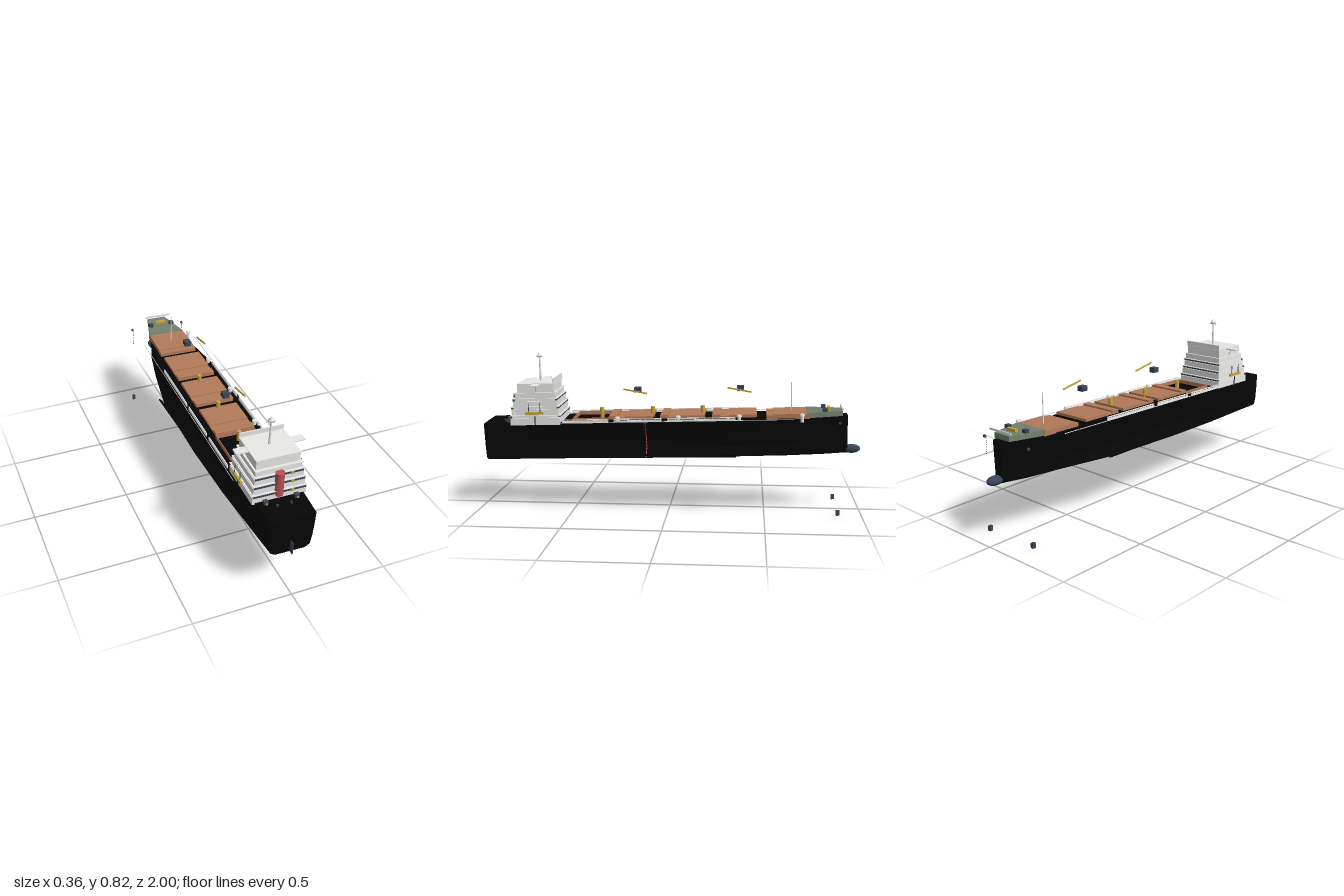
import * as THREE from 'three';

const mat = (name, color) => {
  const m = new THREE.MeshStandardMaterial({ color });
  m.name = name;
  return m;
};

export function createModel() {
  const black = mat('hull black', 0x060607), white = mat('off white', 0xeaeae8);
  const brown = mat('hatch brown', 0xb27a59), green = mat('deck green', 0x71806f);
  const slate = mat('slate', 0x3a4557), yellow = mat('yellow', 0xc8a63a), red = mat('red', 0xb95252);

  // The ship is built level, then pitched and rolled about its middle
  const PIVOT = 0.385;
  const model = new THREE.Group();
  model.name = 'cargoShip';
  const ship = new THREE.Group();
  ship.name = 'ship';
  ship.position.set(-0.005, PIVOT, 0);
  ship.rotation.set(0.029, 0, -0.028);
  model.add(ship);

  const add = (name, geo, material, x, y, z) => {
    const m = new THREE.Mesh(geo, material);
    m.name = name;
    m.position.set(x, y - PIVOT, z);
    ship.add(m);
    return m;
  };
  const box = (name, material, x, y, z, w, h, d) => add(name, new THREE.BoxGeometry(w, h, d), material, x, y, z);
  const cyl = (name, material, x, y, z, r0, r1, h, n = 12) =>
    add(name, new THREE.CylinderGeometry(r1, r0, h, n), material, x, y, z);
  // Box from z0 to z1 and y0 to y1, centred on x
  const block = (name, material, half, y0, y1, z0, z1) =>
    box(name, material, 0, (y0 + y1) / 2, (z0 + z1) / 2, half * 2, y1 - y0, z1 - z0);

  // Hull: half widths at keel, bilge, waist, shoulder and deck for each station
  const levels = [0.282, 0.297, 0.343, 0.4, 0.483];
  const stations = [
    [0.975, 0.075, 0.1, 0.108, 0.112, 0.115],
    [0.8, 0.08, 0.115, 0.11, 0.113, 0.125],
    [0.5, 0.08, 0.14, 0.108, 0.113, 0.137],
    [0.15, 0.08, 0.155, 0.106, 0.112, 0.155],
    [-0.3, 0.08, 0.155, 0.106, 0.112, 0.155],
    [-0.6, 0.07, 0.105, 0.092, 0.098, 0.112],
    [-0.8, 0.045, 0.062, 0.062, 0.066, 0.078],
    [-0.93, 0.014, 0.02, 0.022, 0.025, 0.03],
  ];
  const rings = stations.map(([z, ...w]) => {
    const side = w.map((x, i) => [x, levels[i] - PIVOT, z]);
    return [...side, ...side.map(([x, y]) => [-x, y, z]).reverse()];
  });
  const pos = [];
  const tri = (a, b, c) => pos.push(...a, ...b, ...c);
  const n = rings[0].length;
  for (let s = 0; s < rings.length - 1; s++) {
    for (let i = 0; i < n; i++) {
      const j = (i + 1) % n, A = rings[s], B = rings[s + 1];
      tri(A[i], B[i], B[j]);
      tri(A[i], B[j], A[j]);
    }
  }
  const stern = rings[0], bow = rings[rings.length - 1];
  for (let i = 0; i < 4; i++) {
    const k = n - 1 - i;
    tri(stern[i], stern[i + 1], stern[k - 1]);
    tri(stern[i], stern[k - 1], stern[k]);
    tri(bow[i], bow[k - 1], bow[i + 1]);
    tri(bow[i], bow[k], bow[k - 1]);
  }
  const hullGeo = new THREE.BufferGeometry();
  hullGeo.setAttribute('position', new THREE.Float32BufferAttribute(pos, 3));
  hullGeo.computeVertexNormals();
  add('hull', hullGeo, black, 0, PIVOT, 0);

  add('bulbousBow', new THREE.SphereGeometry(1, 20, 14), slate, 0, 0.299, -0.952).scale.set(0.029, 0.023, 0.046);
  box('rudder', slate, 0, 0.315, 0.987, 0.005, 0.062, 0.026);

  // Dashed load line following the hull side
  const section = [0.155, 0.106, 0.112, 0.155];
  for (let i = 0; i < 3; i++) {
    const dx = section[i + 1] - section[i], dy = levels[i + 2] - levels[i + 1];
    for (const t of [0.17, 0.5, 0.83])
      box('loadMark', red, section[i] + dx * t + 0.001, levels[i + 1] + dy * t, 0.115,
        0.003, Math.hypot(dx, dy) * 0.25, 0.005).rotation.z = -Math.atan2(dx, dy);
  }

  // Fittings repeated on both sides
  for (const s of [-1, 1]) {
    const keel = box('bilgeKeel', black, s * 0.153, 0.304, -0.1, 0.024, 0.005, 0.5);
    keel.rotation.set(0, s * -0.045, s * 0.72, 'YXZ');
    for (const [z0, z1] of [[0.55, 0.31], [0.28, 0.03], [0, -0.35]]) {
      const z = (z0 + z1) / 2;
      box('handrail', white, s * 0.142, 0.5, z, 0.005, 0.005, z0 - z1);
      box('railKerb', white, s * 0.142, 0.488, z, 0.006, 0.012, z0 - z1);
      for (let i = 0; i < 10; i++)
        box('railPost', white, s * 0.142, 0.493, z1 + 0.005 + i * (z0 - z1 - 0.01) / 9, 0.003, 0.016, 0.003);
    }
    box('sideWire', white, s * 0.154, 0.487, 0, 0.002, 0.003, 1.3);
    box('lifeboat', yellow, s * 0.156, 0.541, 0.69, 0.011, 0.013, 0.095);
    for (const z of [0.66, 0.72]) box('davit', slate, s * 0.156, 0.568, z, 0.003, 0.05, 0.003);
    box('davitFoot', black, s * 0.153, 0.5, 0.69, 0.004, 0.05, 0.004);

    // Anchor gear
    box('anchor', slate, s * 0.155, -0.006, -0.868, 0.016, 0.026, 0.018);
    box('fairlead', slate, s * 0.155, 0.465, -0.878, 0.01, 0.012, 0.012);
    for (let i = 0; i < 8; i++) box('chainLink', black, s * 0.153, 0.453 - i * 0.011, -0.872, 0.002, 0.004, 0.002);

    // Mooring gear
    box('sternWinch', slate, s * 0.079, 0.491, 0.845, 0.022, 0.02, 0.022);
    box('sternWinchDrum', yellow, s * 0.079, 0.489, 0.858, 0.007, 0.008, 0.006);
    cyl('sternBollard', slate, s * 0.035, 0.488, 0.88, 0.005, 0.005, 0.012);
    box('bowWinch', slate, s * 0.062, 0.517, -0.81, 0.024, 0.018, 0.022);

    // Bridge wing struts
    box('wingStrut', white, s * 0.122, 0.665, 0.685, 0.003, 0.042, 0.003).rotation.z = -s * 0.5;
  }

  // Deck vents along one side
  for (const z of [-0.69, -0.37, -0.055, 0.262]) {
    cyl('ventPipe', white, 0.127, 0.485, z, 0.009, 0.009, 0.034);
    cyl('ventCap', white, 0.127, 0.505, z, 0.014, 0.012, 0.01);
  }

  // Open hold rim
  for (const s of [-1, 1]) {
    box('holdRimSide', brown, s * 0.104, 0.492, 0.405, 0.004, 0.022, 0.19);
    box('holdRimEnd', brown, 0, 0.492, 0.405 + s * 0.094, 0.208, 0.022, 0.004);
  }
  // Hatch covers: one long panel and two folded strips
  for (const z of [0.08, -0.19, -0.46]) {
    block('hatchCoaming', black, 0.108, 0.48, 0.493, z, z + 0.23);
    block('hatchPanel', brown, 0.104, 0.49, 0.507, z, z + 0.147);
    block('hatchStrip', brown, 0.104, 0.49, 0.502, z + 0.147, z + 0.189);
    block('hatchStrip', brown, 0.104, 0.49, 0.511, z + 0.189, z + 0.23);
  }
  block('hatchPanel', brown, 0.102, 0.48, 0.506, -0.73, -0.544);
  block('hatchStrip', brown, 0.104, 0.48, 0.501, -0.544, -0.51);

  // Cargo gear
  for (const z of [0.36, 0.088, -0.177]) cyl('cranePost', yellow, -0.002, 0.513, z, 0.011, 0.011, 0.055);
  for (const [z, y] of [[0.164, 0.632], [-0.378, 0.63]]) {
    box('craneCab', slate, 0, y, z, 0.034, 0.026, 0.036);
    box('craneJib', yellow, 0.079, y + 0.003, z + 0.005, 0.006, 0.008, 0.125).rotation.x = -0.2;
  }
  cyl('foreMast', white, 0.002, 0.576, -0.642, 0.003, 0.0025, 0.165, 8);

  // Forecastle
  const fc = new THREE.Shape([[-0.1, 0.72], [0.1, 0.72], [0.052, 0.902], [-0.052, 0.902]]
    .map(([x, y]) => new THREE.Vector2(x, y)));
  const fcGeo = new THREE.ExtrudeGeometry(fc, { depth: 0.026, bevelEnabled: false });
  fcGeo.rotateX(-Math.PI / 2);
  add('forecastle', fcGeo, green, 0, 0.483, 0);
  box('windlass', yellow, 0.003, 0.516, -0.835, 0.06, 0.016, 0.016);
  box('bowRail', white, 0.01, 0.521, -0.9, 0.15, 0.01, 0.005);

  // Accommodation tiers with window bands and overhanging deck edges
  const tiers = [
    [0.137, 0.475, 0.512, 0.562, 0.825], [0.131, 0.512, 0.557, 0.57, 0.817],
    [0.125, 0.557, 0.599, 0.578, 0.808], [0.118, 0.599, 0.642, 0.586, 0.798],
    [0.111, 0.642, 0.687, 0.594, 0.785],
  ];
  tiers.forEach(([half, y0, y1, z0, z1], i) => {
    block('deckTier', white, half, y0, y1, z0, z1);
    if (i === 4) return;
    if (i === 3) {
      block('deckEdge', white, half + 0.003, y1 - 0.004, y1, z0 - 0.003, z1 + 0.003);
      return;
    }
    block('windowBand', slate, half - 0.003, y1 - 0.001, y1 + 0.011, z1 - 0.008, z1 + 0.002);
    block('windowBand', slate, half - 0.003, y1 + 0.003, y1 + 0.011, z0 - 0.002, z0 + 0.008);
    block('deckEdge', white, half + 0.002, y1 + 0.011, y1 + 0.014, z0 - 0.004, z1 + 0.003);
    box('sternLocker', yellow, 0.064, y1 + 0.005, z1 + 0.001, 0.016, 0.014, 0.01);
  });
  for (let i = 0; i < 4; i++) box('sideLadder', white, 0.134, 0.52 + i * 0.01, 0.8, 0.012, 0.003, 0.012);
  block('bridgeRoof', white, 0.113, 0.685, 0.69, 0.588, 0.785);
  block('bridgeScreen', white, 0.114, 0.686, 0.714, 0.59, 0.596);
  box('bridgeWings', white, 0, 0.685, 0.682, 0.35, 0.006, 0.042);

  // Funnel
  cyl('funnel', red, -0.001, 0.56, 0.814, 0.023, 0.022, 0.126, 20);

  // Radar mast with dome
  cyl('mast', white, 0, 0.754, 0.682, 0.006, 0.004, 0.13);
  box('radarBar', white, 0, 0.814, 0.682, 0.046, 0.003, 0.006);
  const dome = [[0, 0], [0.017, 0.002], [0.014, 0.009], [0.008, 0.014], [0.006, 0.021], [0, 0.025]];
  add('radarDome', new THREE.LatheGeometry(dome.map(([x, y]) => new THREE.Vector2(x, y)), 20), white, 0, 0.816, 0.682);

  return model;
}
